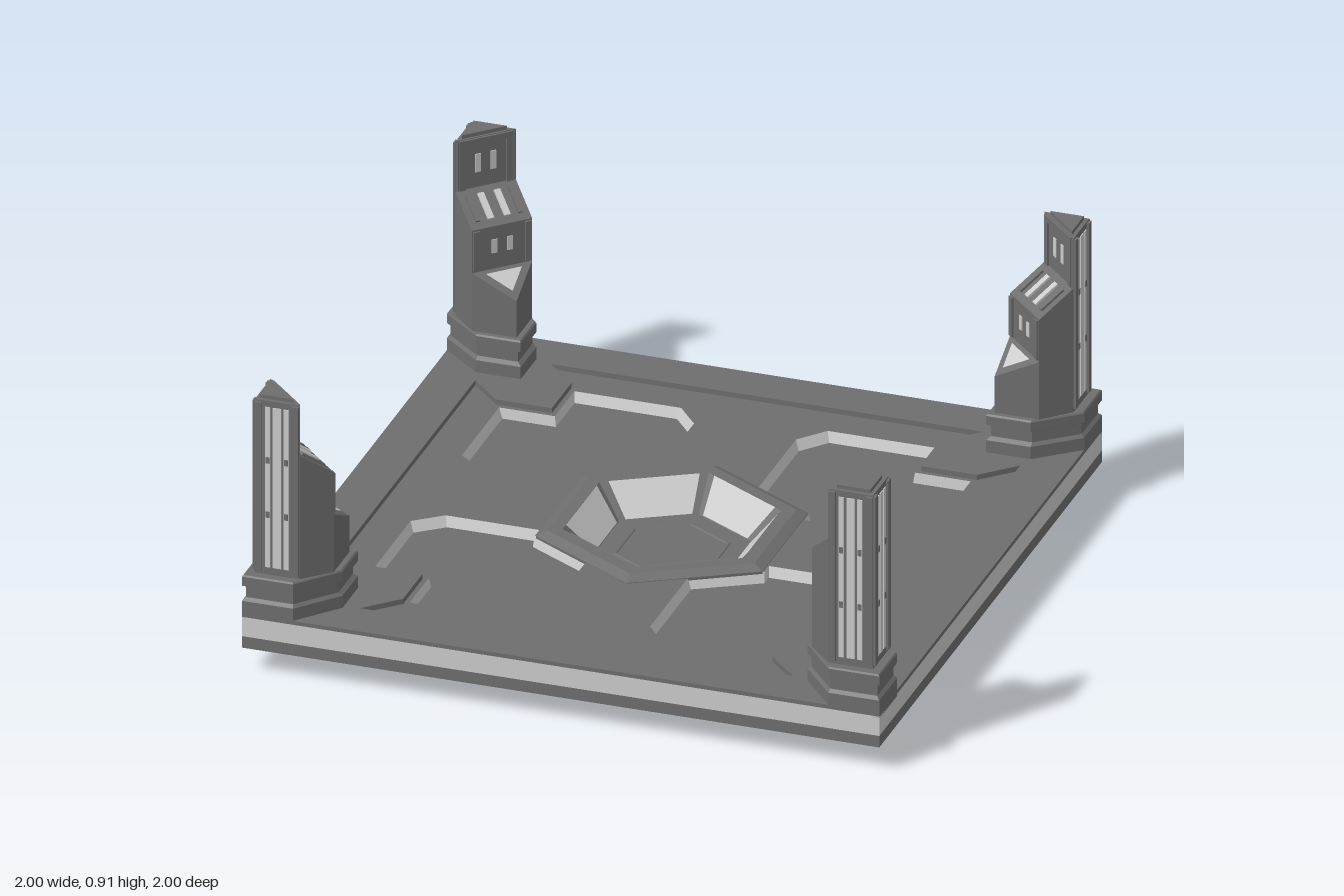
import * as THREE from 'three';

const material = (color) => new THREE.MeshStandardMaterial({ color, flatShading: true, side: THREE.DoubleSide });
const dark = material(0x6e6e6e);
const light = material(0xcccccc);

function add(parent, name, geometry, mat, x = 0, y = 0, z = 0) {
  const mesh = new THREE.Mesh(geometry, mat);
  mesh.name = name;
  mesh.position.set(x, y, z);
  parent.add(mesh);
  return mesh;
}

// Lift [x, z] points to one height, or to one height per point
const at = (points, y) => points.map(([x, z], i) => [x, Array.isArray(y) ? y[i] : y, z]);

// Join successive loops of points with flat faces; optionally cap the ends
function loft(loops, { bottom = false, top = false } = {}) {
  const out = [];
  const tri = (a, b, c) => out.push(...a, ...b, ...c);
  for (let k = 0; k < loops.length - 1; k++) {
    const A = loops[k], B = loops[k + 1], n = A.length;
    for (let i = 0; i < n; i++) {
      const j = (i + 1) % n;
      tri(A[i], A[j], B[j]);
      tri(A[i], B[j], B[i]);
    }
  }
  const first = loops[0], last = loops[loops.length - 1];
  for (let i = 1; i < first.length - 1; i++) {
    if (bottom) tri(first[0], first[i + 1], first[i]);
    if (top) tri(last[0], last[i], last[i + 1]);
  }
  const g = new THREE.BufferGeometry();
  g.setAttribute('position', new THREE.Float32BufferAttribute(out, 3));
  g.computeVertexNormals();
  return g;
}

// Horizontal sheet with holes
function sheet(outline, holes, y) {
  const v = (pts) => pts.map(([x, z]) => new THREE.Vector2(x, -z));
  const shape = new THREE.Shape(v(outline));
  holes.forEach((h) => shape.holes.push(new THREE.Path(v(h))));
  return new THREE.ShapeGeometry(shape).rotateX(-Math.PI / 2).translate(0, y, 0);
}

const hex = (r) => Array.from({ length: 6 }, (_, k) => {
  const a = Math.PI / 2 + k * Math.PI / 3;
  return [r * Math.cos(a), -r * Math.sin(a)];
});

// Mirror a front-left outline into another quarter, keeping its winding
function quarter(points, sx, sz) {
  const p = points.map(([x, z]) => [x * sx, z * sz]);
  return sx * sz < 0 ? p.reverse() : p;
}
const quarters = [[1, 1], [1, -1], [-1, -1], [-1, 1]];
const scaleAbout = (pts, cx, cz, s) => pts.map(([x, z]) => [cx + (x - cx) * s, cz + (z - cz) * s]);

const TOP = 0.195, FLOOR = 0.178, PANEL = 0.145;

function buildPlatform() {
  const g = new THREE.Group();
  g.name = 'platform';
  const square = [[1, 1], [1, -1], [-1, -1], [-1, 1]];
  const notch = [[0.68, 0.855], [0.58, 0.755], [0.58, 0.58], [0.755, 0.58], [0.855, 0.68]];
  const recess = quarters.flatMap(([sx, sz]) => quarter(notch, sx, sz));
  const panel = [[0.16, 0.655], [0.23, 0.74], [0.565, 0.74], [0.565, 0.565], [0.74, 0.565],
    [0.74, 0.23], [0.655, 0.16], [0.36, 0.16], [0.36, 0.2], [0.16, 0.315]];
  const panels = quarters.map(([sx, sz]) => quarter(panel, sx, sz));

  // Open-bottomed outer wall with a light band
  add(g, 'lowerRim', loft([at(square, 0.08), at(square, 0.118)]), dark);
  add(g, 'lightBand', loft([at(square, 0.118), at(square, 0.182)]), light);
  add(g, 'upperRim', loft([at(square, 0.182), at(square, TOP)]), dark);

  // Border, shallow recessed floor and four sunken panels
  add(g, 'border', sheet(square, [recess], TOP), dark);
  add(g, 'borderStep', loft([at(recess, TOP), at(recess, FLOOR)]), dark);
  add(g, 'floor', sheet(recess, [hex(0.36), ...panels], FLOOR), dark);
  panels.forEach((p, i) => {
    const [sx, sz] = quarters[i];
    const inner = scaleAbout(p, 0.45 * sx, 0.45 * sz, 0.96);
    add(g, 'panelEdge', loft([at(p, FLOOR), at(inner, PANEL)]), light);
    add(g, 'panelFloor', sheet(inner, [], PANEL), dark);
  });
  return g;
}

function buildWell() {
  const g = new THREE.Group();
  g.name = 'centralWell';
  const profile = [[0.41, PANEL], [0.41, 0.18], [0.375, TOP], [0.33, TOP], [0.24, 0.1]];
  add(g, 'wellBowl', loft(profile.map(([r, y]) => at(hex(r), y)), { top: true }), dark);
  add(g, 'wellHousing', loft([at(hex(0.32), 0), at(hex(0.32), 0.17)], { bottom: true }), dark);
  add(g, 'floorRing', loft([at(hex(0.178), 0.1), at(hex(0.175), 0.103), at(hex(0.168), 0.103), at(hex(0.165), 0.1)]), dark);

  // Light sloping windows, leaving dark ribs at the corners
  const outer = at(hex(0.328), TOP + 0.002), inner = at(hex(0.24), 0.104);
  const mix = (a, b, t) => a.map((v, i) => v + (b[i] - v) * t);
  for (let i = 0; i < 6; i++) {
    const j = (i + 1) % 6;
    const quad = [mix(outer[i], outer[j], 0.08), mix(outer[i], outer[j], 0.92),
      mix(inner[i], inner[j], 0.92), mix(inner[i], inner[j], 0.08)];
    add(g, 'wellWindow', loft([quad], { top: true }), light);
  }
  return g;
}

function buildTower() {
  const g = new THREE.Group();
  g.name = 'tower';

  // Stepped plinth
  const foot = [[1, 1], [1, 0.84], [0.87, 0.73], [0.73, 0.73], [0.73, 0.87], [0.84, 1]];
  const steps = [[0.175, 1], [0.235, 1], [0.245, 0.92], [0.28, 0.92], [0.285, 1], [0.315, 1], [0.32, 0.97]];
  add(g, 'plinth', loft(steps.map(([y, s]) => at(scaleAbout(foot, 0.88, 0.88, s), y)), { top: true }), dark);

  // Triangular column with cap, sloped console and pointed prow
  const column = [[0.97, 0.97], [0.97, 0.83], [0.83, 0.97]];
  add(g, 'column', loft([at(column, 0.32), at(column, 0.895)], { top: true }), dark);
  const cap = scaleAbout(column, 0.92, 0.92, 0.75);
  add(g, 'columnCap', loft([at(cap, 0.89), at(cap, 0.907)], { top: true }), dark);
  const console_ = [[0.97, 0.83], [0.89, 0.75], [0.75, 0.89], [0.83, 0.97]];
  add(g, 'console', loft([at(console_, 0.32), at(console_, [0.73, 0.65, 0.65, 0.73])], { top: true }), dark);
  const prow = [[0.89, 0.75], [0.75, 0.75], [0.75, 0.89]];
  const prowTop = [0.51, 0.44, 0.51];
  add(g, 'prow', loft([at(prow, 0.32), at(prow, prowTop)], { top: true }), dark);
  const lamp = scaleAbout(prow, 0.797, 0.797, 0.6);
  add(g, 'prowLamp', loft([at(lamp, [0.505, 0.463, 0.505])], { top: true }), light);

  // Light strips and clips on the two outward faces
  for (const side of [0, 1]) {
    const place = (name, w, h, d, u, y, mat) => add(g, name,
      side ? new THREE.BoxGeometry(d, h, w) : new THREE.BoxGeometry(w, h, d), mat,
      side ? 0.97 : u, y, side ? u : 0.97);
    for (const u of [0.842, 0.958]) place('stripFrame', 0.022, 0.56, 0.016, u, 0.61, dark);
    for (const [u, w] of [[0.871, 0.016], [0.9, 0.026], [0.929, 0.016]]) place('lightStrip', w, 0.53, 0.006, u, 0.61, light);
    for (const y of [0.52, 0.7]) for (const u of [0.871, 0.929]) place('stripClip', 0.012, 0.02, 0.01, u, y, dark);
  }

  // Details facing the platform centre
  const face = new THREE.Group();
  face.name = 'controlFace';
  face.position.set(0.9, 0, 0.9);
  face.rotation.y = -3 * Math.PI / 4;
  g.add(face);
  for (const s of [-1, 1]) {
    add(face, 'upperSlot', new THREE.BoxGeometry(0.018, 0.06, 0.006), light, s * 0.025, 0.81, 0);
    add(face, 'lowerSlot', new THREE.BoxGeometry(0.018, 0.045, 0.006), light, s * 0.025, 0.585, 0.113);
    add(face, 'upperFrameSide', new THREE.BoxGeometry(0.02, 0.16, 0.014), dark, s * 0.078, 0.81, 0);
    add(face, 'lowerFrameSide', new THREE.BoxGeometry(0.02, 0.13, 0.014), dark, s * 0.085, 0.58, 0.113);
    add(face, 'consoleBar', new THREE.BoxGeometry(0.02, 0.01, 0.09), light, s * 0.027, 0.692, 0.057).rotation.x = 0.616;
    add(face, 'consoleKeys', new THREE.BoxGeometry(0.014, 0.01, 0.09), dark, s * 0.07, 0.692, 0.057).rotation.x = 0.616;
  }
  add(face, 'upperFrameTop', new THREE.BoxGeometry(0.176, 0.018, 0.014), dark, 0, 0.884, 0);
  return g;
}

export function createModel() {
  const model = new THREE.Group();
  model.name = 'platformWithTowers';
  model.add(buildPlatform(), buildWell());
  // One tower at each corner
  for (let i = 0; i < 4; i++) {
    const tower = buildTower();
    tower.rotation.y = i * Math.PI / 2;
    model.add(tower);
  }
  return model;
}
